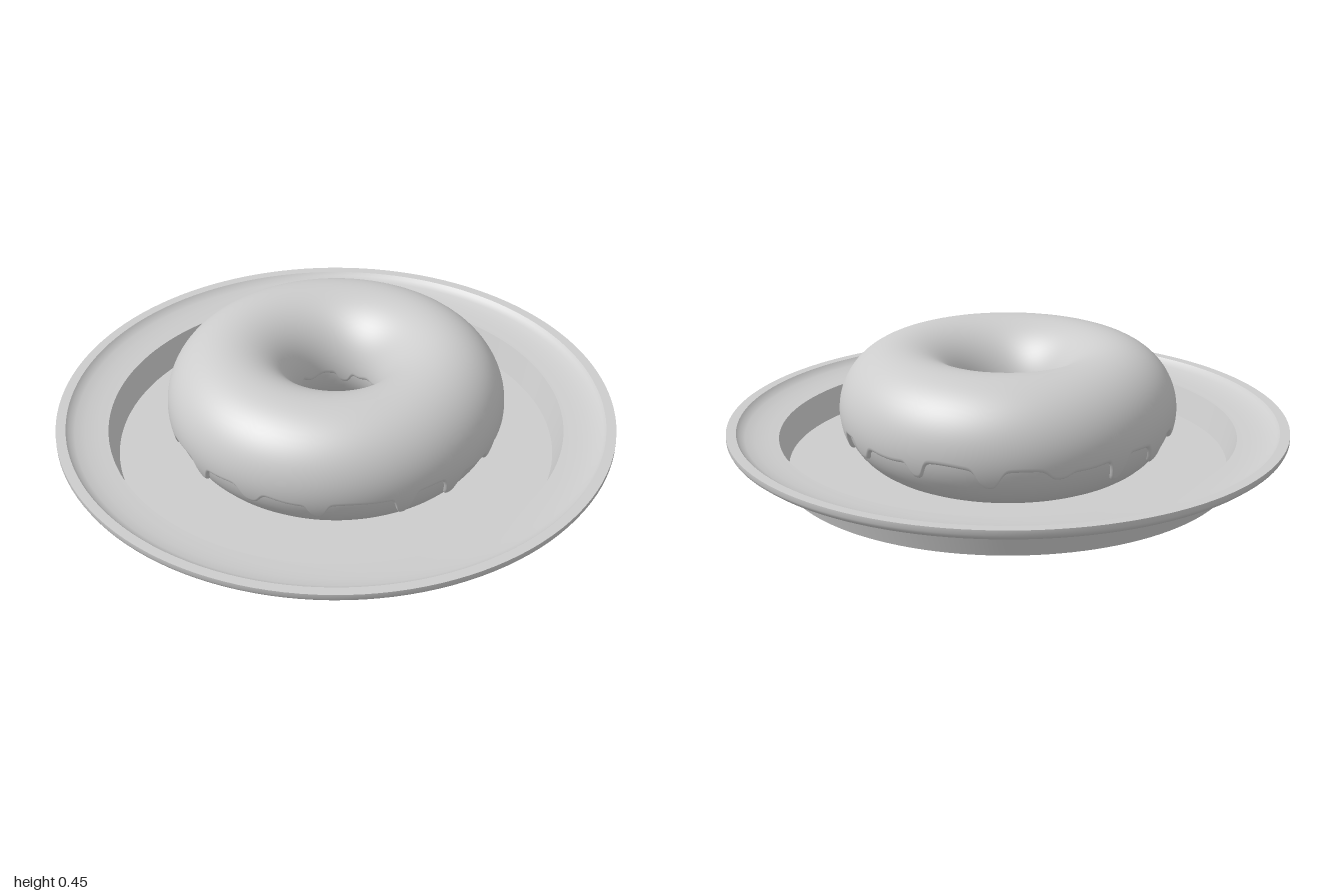
import * as THREE from 'three';
import { toCreasedNormals } from 'three/addons/utils/BufferGeometryUtils.js';
import { ParametricGeometry } from 'three/addons/geometries/ParametricGeometry.js';

const RING = 0.375;    // radius of the ring's centre line
const CENTRE_Y = 0.225;
const DOUGH = 0.212;   // tube radius of the dough
const ICING = 0.013;   // thickness of the icing
const rad = THREE.MathUtils.degToRad;

// Icing drips: [angle in degrees from +x towards +z, lowest height, half width in degrees]
const outerDrips = [
  [-24, 0.13, 4], [-7, 0.11, 3], [8, 0.14, 3], [23, 0.11, 3], [46, 0.14, 2.5],
  [67, 0.105, 3], [86, 0.1, 3], [115, 0.12, 3], [138, 0.14, 4], [160, 0.12, 3],
  [184, 0.12, 3.5], [203, 0.15, 4], [220, 0.11, 4], [240, 0.1, 3], [262, 0.15, 4],
  [285, 0.12, 4], [310, 0.13, 3],
];
const innerDrips = [[225, 0.15, 9], [20, 0.17, 10], [110, 0.16, 9], [300, 0.17, 10]];

// Height of the icing's edge at an angle: a wavy line pulled down by the drips
function edgeHeight(angle, base, drips) {
  let y = base + 0.008 * Math.sin(5 * angle + 1) + 0.006 * Math.sin(11 * angle);
  for (const [deg, low, width] of drips) {
    const d = Math.atan2(Math.sin(angle - rad(deg)), Math.cos(angle - rad(deg)));
    y = THREE.MathUtils.lerp(y, low, Math.exp(-Math.pow(Math.abs(d) / rad(width), 3)));
  }
  return y;
}

// Icing shell from its inner edge, over the top, to its outer edge
function icingPoint(u, v, target) {
  const a = u * Math.PI * 2;
  const tubeAngle = (y) => Math.asin((y - CENTRE_Y) / (DOUGH + ICING));
  const outer = tubeAngle(edgeHeight(a, 0.185, outerDrips));
  const inner = Math.PI - tubeAngle(edgeHeight(a, 0.21, innerDrips));
  const t = 0.5 - 0.5 * Math.cos(Math.PI * v);
  const phi = THREE.MathUtils.lerp(inner, outer, t);
  // rounded lip that meets the dough at both edges
  const fromEdge = Math.min(1, Math.min(inner - phi, phi - outer) / 0.08);
  const lip = Math.sqrt(Math.max(0, 1 - (1 - fromEdge) ** 2));
  const tube = DOUGH - 0.002 + (ICING + 0.002) * lip;
  const r = RING + tube * Math.cos(phi);
  target.set(r * Math.cos(a), CENTRE_Y + tube * Math.sin(phi), r * Math.sin(a));
}

export function createModel() {
  const model = new THREE.Group();
  model.name = 'doughnutOnPlate';
  const grey = new THREE.MeshStandardMaterial({ color: 0xcccccc });
  grey.name = 'plain grey';

  const add = (name, geometry) => {
    const mesh = new THREE.Mesh(geometry, grey);
    mesh.name = name;
    model.add(mesh);
    return mesh;
  };

  // Plate: foot, curved rim, raised lip, sunken floor
  const profile = [
    [0, 0], [0.812, 0], [0.843, 0.1], [0.87, 0.101], [0.91, 0.106], [0.95, 0.117],
    [0.98, 0.13], [0.995, 0.142], [1, 0.152], [1, 0.168], [0.965, 0.168],
    [0.955, 0.157], [0.935, 0.148], [0.9, 0.14], [0.86, 0.135], [0.817, 0.133],
    [0.785, 0.03], [0, 0.03],
  ].map(([x, y]) => new THREE.Vector2(x, y));
  add('plate', toCreasedNormals(new THREE.LatheGeometry(profile, 128), rad(32)));

  // Dough ring
  const dough = new THREE.TorusGeometry(RING, DOUGH, 48, 128).rotateX(-Math.PI / 2);
  add('dough', dough).position.y = CENTRE_Y;

  // Icing with drips
  add('icing', new ParametricGeometry(icingPoint, 540, 48));

  return model;
}
